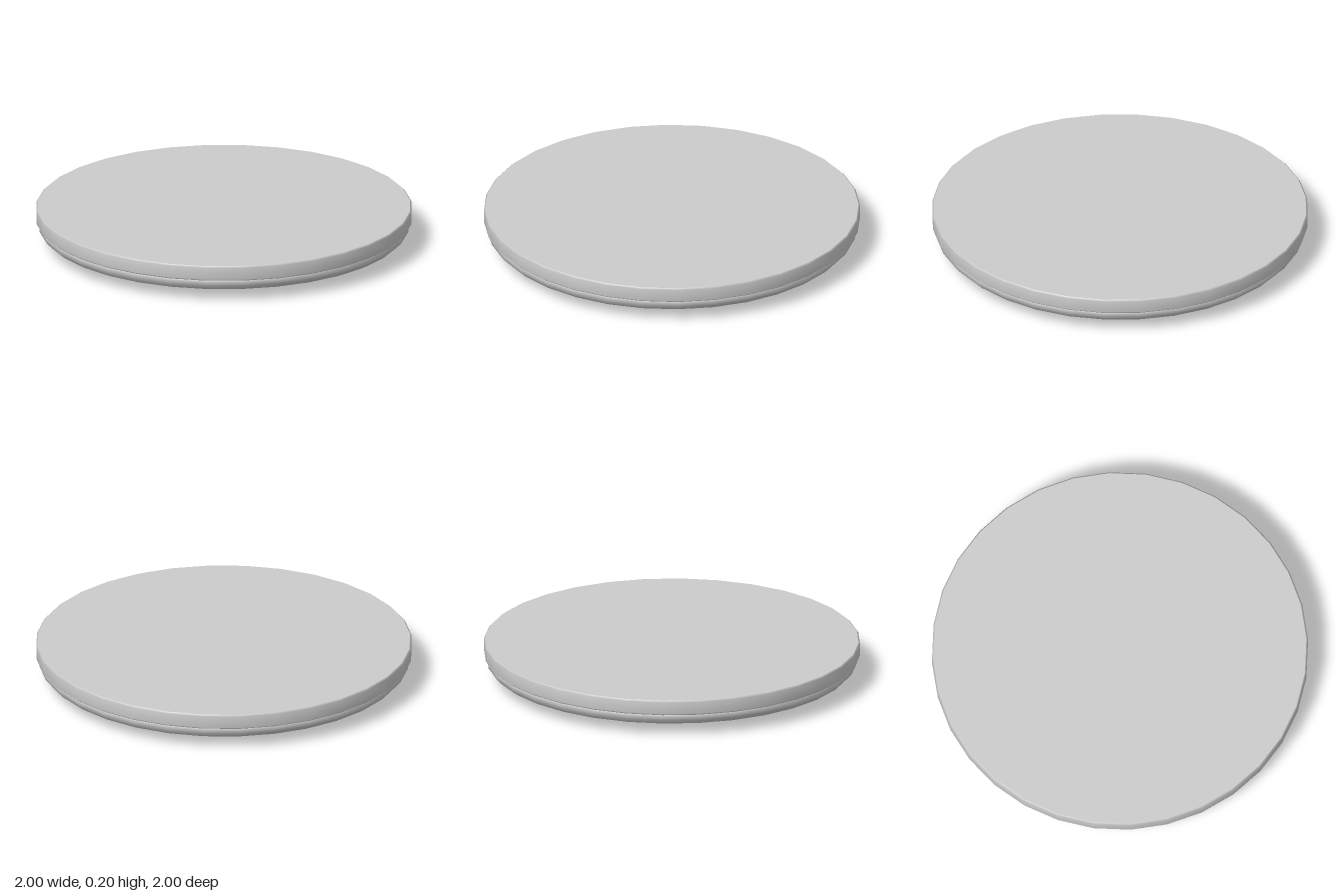
import * as THREE from 'three';

const SIDES = 32;

// Lathe a [radius, height] profile listed from bottom to top; a doubled point keeps that edge sharp.
function turned(name, profile) {
  const points = profile.map(([r, y]) => new THREE.Vector2(r, y));
  const mesh = new THREE.Mesh(
    new THREE.LatheGeometry(points, SIDES),
    new THREE.MeshStandardMaterial({ color: 0xcccccc })
  );
  mesh.name = name;
  return mesh;
}

export function createModel() {
  const group = new THREE.Group();
  group.name = 'roundDisc';

  // Shallow dished underside, curling up to a short upright rim and closed under the cap
  group.add(turned('lowerShell', [
    [0, 0], [0.64, 0.005], [0.87, 0.037], [0.96, 0.065], [0.984, 0.09],
    [0.986, 0.114], [0.98, 0.122], [0.98, 0.122], [0.965, 0.125],
  ]));

  // Flat cap with a slightly eased edge, overhanging the shell
  group.add(turned('topCap', [
    [0.96, 0.122], [0.99, 0.122], [0.99, 0.122], [1, 0.132],
    [1, 0.196], [0.992, 0.204], [0.992, 0.204], [0, 0.204],
  ]));

  return group;
}
